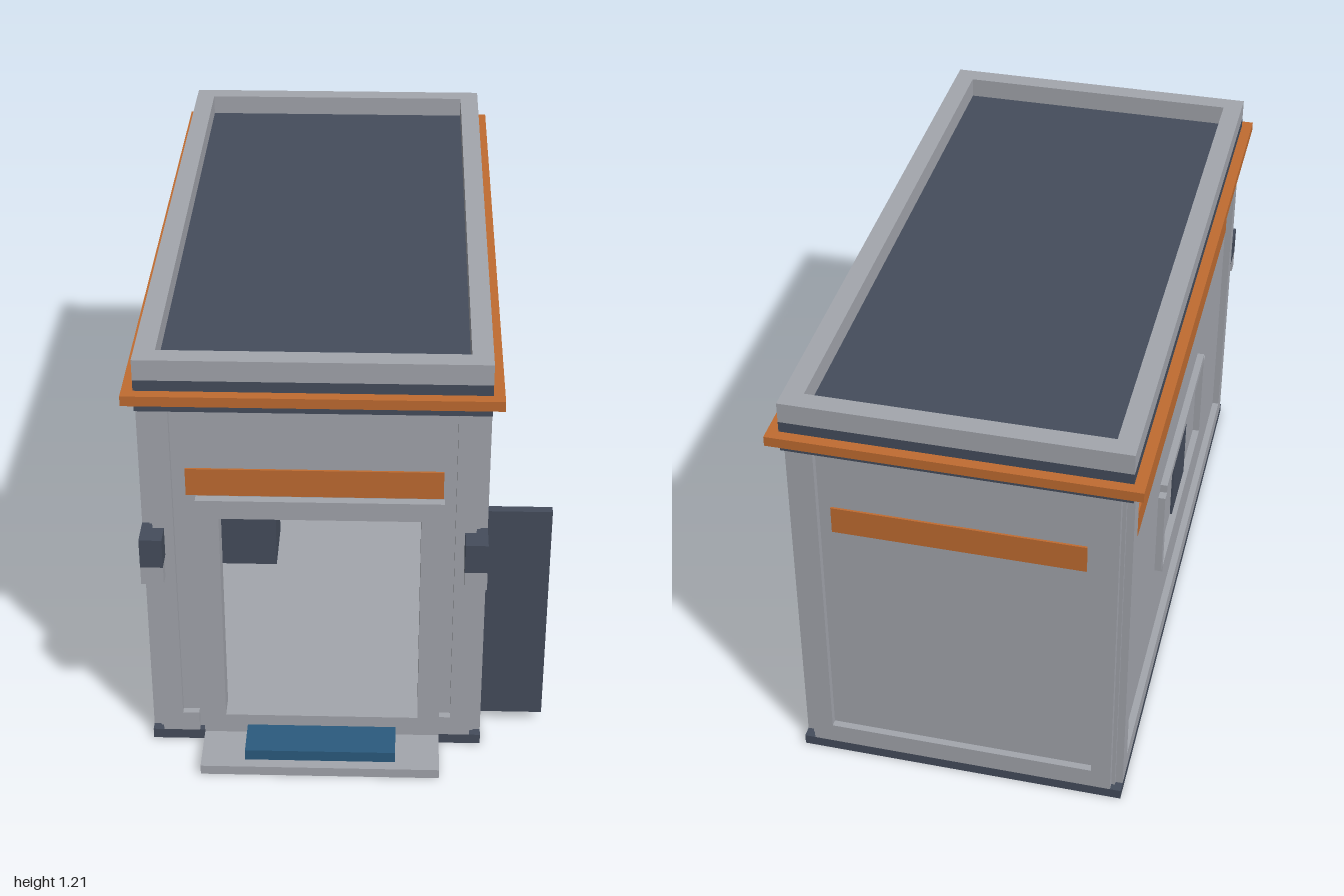
import * as THREE from 'three';

const mat = (name, color) => Object.assign(new THREE.MeshStandardMaterial({ color }), { name });

export function createModel() {
  const gray = mat('light gray', 0xa3a6ad);
  const dark = mat('dark slate', 0x454d5c);
  const orange = mat('orange', 0xc06c31);
  const blue = mat('blue', 0x2b5b7e);

  const model = new THREE.Group();
  model.name = 'cabin';

  // box given by its extents on each axis
  const box = (name, m, x0, x1, y0, y1, z0, z1) => {
    const mesh = new THREE.Mesh(new THREE.BoxGeometry(x1 - x0, y1 - y0, z1 - z0), m);
    mesh.position.set((x0 + x1) / 2, (y0 + y1) / 2, (z0 + z1) / 2);
    mesh.name = name;
    model.add(mesh);
  };
  const rect = (P, x0, x1, y0, y1) => new P([[x0, y0], [x1, y0], [x1, y1], [x0, y1]]
    .map(([x, y]) => new THREE.Vector2(x, y)));

  // flat rectangular ring lying in xz, t wide
  const ring = (name, m, x0, x1, z0, z1, y0, y1, t) => {
    const shape = rect(THREE.Shape, x0, x1, -z1, -z0);
    shape.holes.push(rect(THREE.Path, x0 + t, x1 - t, -z1 + t, -z0 - t));
    const geo = new THREE.ExtrudeGeometry(shape, { depth: y1 - y0, bevelEnabled: false });
    geo.rotateX(-Math.PI / 2);
    const mesh = new THREE.Mesh(geo, m);
    mesh.position.y = y0;
    mesh.name = name;
    model.add(mesh);
  };

  // upright rectangular frame with an opening, facing z
  const frameZ = (name, m, outer, inner, z0, z1) => {
    const shape = rect(THREE.Shape, ...outer);
    shape.holes.push(rect(THREE.Path, ...inner));
    const mesh = new THREE.Mesh(new THREE.ExtrudeGeometry(shape, { depth: z1 - z0, bevelEnabled: false }), m);
    mesh.position.z = z0;
    mesh.name = name;
    model.add(mesh);
  };

  const L = -0.53, R = 0.38, B = -0.97, F = 0.85, top = 1.06, cx = (L + R) / 2;
  const doorway = [-0.325, 0.205, 0.09, 0.74];

  // base, floor and inner skirting
  ring('baseFrame', dark, L, R, B, F, 0, 0.03, 0.03);
  box('floor', gray, -0.46, 0.31, 0.005, 0.03, -0.9, 0.8);
  for (const [x0, x1] of [[-0.475, -0.46], [0.31, 0.325]])
    box('sideSkirting', orange, x0, x1, 0.005, 0.08, -0.9, 0.72);
  box('backSkirting', orange, -0.475, 0.325, 0.005, 0.08, -0.915, -0.9);

  // recessed wall panels
  frameZ('frontWall', gray, [-0.51, 0.36, 0.03, top], doorway, 0.795, 0.83);
  box('backWall', gray, -0.51, 0.36, 0.03, top, -0.95, -0.925);

  // side walls with stiles, rails, stripes and window frames
  for (const s of [-1, 1]) {
    const side = (name, m, d0, d1, y0, y1, z0, z1) => {
      const a = cx + s * d0, b = cx + s * d1;
      box(name, m, Math.min(a, b), Math.max(a, b), y0, y1, z0, z1);
    };
    const o = (R - L) / 2;
    side('sideWall', gray, o - 0.045, o - 0.02, 0.03, top, -0.94, 0.82);
    side('sideStile', gray, o - 0.03, o, 0.03, top, 0.77, 0.825);
    side('sideStile', gray, o - 0.03, o, 0.03, top, -0.94, -0.885);
    side('sideRail', gray, o - 0.03, o, 0.03, 0.09, -0.885, 0.77);
    side('sideStripe', orange, o - 0.02, o - 0.014, 0.8, 0.88, -0.85, 0.735);
    for (const y of [0.325, 0.62])
      side('windowRail', gray, o - 0.03, o, y, y + 0.025, -0.38, 0.27);
    for (const z of [-0.408, 0.27])
      side('windowPost', gray, o - 0.03, o, 0.35, 0.62, z, z + 0.028);
    // front and back stiles leave a notch at each corner
    side('frontStile', gray, o - 0.085, o - 0.03, 0.03, top, 0.81, F);
    side('backStile', gray, o - 0.085, o - 0.03, 0.03, top, B, -0.93);
    side('frontRail', gray, 0.325, o - 0.085, 0.03, 0.09, 0.82, F);
    // wall lamps
    side('lampHood', dark, o - 0.06, o, 0.62, 0.705, 0.825, 0.91);
    side('lampBody', gray, o - 0.06, o, 0.565, 0.62, 0.87, 0.908);
  }
  box('backRail', gray, -0.445, 0.295, 0.03, 0.09, B, -0.93);
  box('frontStripe', orange, -0.41, 0.262, 0.8, 0.88, 0.83, 0.836);
  box('backStripe', orange, -0.415, 0.262, 0.8, 0.88, -0.956, -0.95);

  // doorway surround, open door leaf, step and mat
  frameZ('doorFrame', gray, [-0.385, 0.265, 0.03, 0.795], doorway, 0.79, 0.855);
  box('doorLeaf', dark, 0.34, 0.555, 0.03, 0.705, 0.72, 0.745);
  box('step', gray, -0.385, 0.265, 0, 0.028, F, 1);
  box('stepMat', blue, -0.265, 0.145, 0.028, 0.06, 0.86, 0.97);

  // cabinet, also showing in the side window
  box('cabinet', dark, -0.49, -0.235, 0, 0.62, -0.15, 0.04);
  box('windowPlate', dark, -0.516, -0.51, 0.35, 0.62, -0.15, 0.06);

  // bench with equipment at the back of the room
  box('bench', gray, -0.4, 0.3, 0.03, 0.24, -0.9, -0.5);
  box('benchTop', gray, -0.41, 0.31, 0.24, 0.265, -0.91, -0.49);
  box('equipmentBase', dark, -0.235, 0.22, 0.265, 0.33, -0.85, -0.6);
  box('equipmentTrim', orange, -0.21, 0.16, 0.33, 0.352, -0.8, -0.64);
  box('equipmentBack', gray, -0.235, 0.22, 0.33, 0.385, -0.86, -0.81);
  for (const x of [-0.175, 0])
    box('equipmentPost', dark, x, x + 0.055, 0.33, 0.385, -0.72, -0.6);
  for (const x of [-0.235, 0.115, 0.175])
    box('equipmentKnob', dark, x, x + 0.03, 0.33, 0.352, -0.66, -0.6);
  box('equipmentTop', dark, -0.148, 0.025, 0.385, 0.445, -0.85, -0.6);
  box('benchBlock', gray, 0.085, 0.145, 0.265, 0.295, -0.6, -0.52);

  // roof deck, trim and parapet
  box('roofDeck', dark, L, R, top, 1.15, B, F);
  ring('roofTrim', orange, -0.56, 0.41, -1, 0.88, 1.092, 1.12, 0.05);
  ring('parapet', gray, L, R, B, F, 1.15, 1.208, 0.055);

  return model;
}
